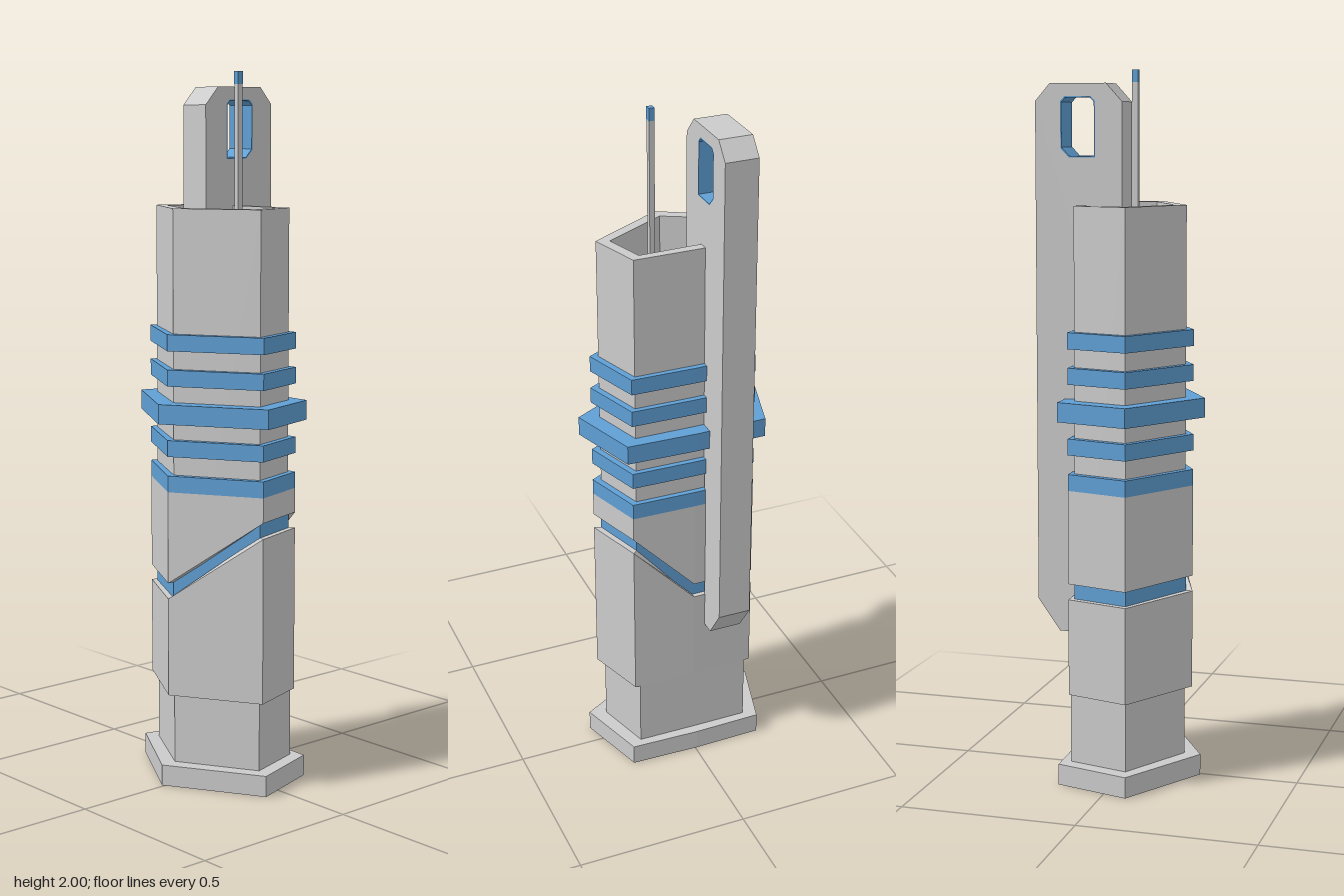
import * as THREE from 'three';

const grey = new THREE.MeshStandardMaterial({ color: 0xcccccc, flatShading: true });
const blue = new THREE.MeshStandardMaterial({ color: 0x5f9fd4, flatShading: true });

// Pentagonal plan (with a mid-back point) and the direction each corner moves as it grows
const plan = [[-0.215, 0.055], [-0.007, 0.17], [0.213, 0.046], [0.165, -0.105], [-0.005, -0.106], [-0.17, -0.105]];
const grow = [[-0.055, 0.015], [0, 0.055], [0.055, 0.02], [0.037, -0.036], [0, -0.041], [-0.04, -0.037]];

// One cross-section; y is a number or one height per corner, back shifts the rear wall
function section(size, y, back = 0) {
  return plan.map(([x, z], i) => [
    x + grow[i][0] * size,
    Array.isArray(y) ? y[i] : y,
    z + grow[i][1] * size - (i > 2 ? back : 0),
  ]);
}
const centre = (y) => plan.map(() => [0, y, 0]);

// Joins cross-sections with flat quads
function loft(sections) {
  const pos = [];
  for (let k = 0; k < sections.length - 1; k++) {
    const a = sections[k], b = sections[k + 1];
    a.forEach((p, i) => {
      const j = (i + 1) % a.length;
      pos.push(...p, ...a[j], ...b[j], ...p, ...b[j], ...b[i]);
    });
  }
  const g = new THREE.BufferGeometry();
  g.setAttribute('position', new THREE.Float32BufferAttribute(pos, 3));
  g.computeVertexNormals();
  return g;
}

const prism = (size, y0, y1, back) =>
  loft([centre(y0), section(size, y0, back), section(size, y1, back), centre(y1)]);

const collar = (size, y0, y1) =>
  loft([section(-0.1, y0), section(size, y0), section(size, y1), section(-0.1, y1)]);

// Extrudes a (z, y) side profile along x
function sideExtrude(outline, hole, x0, width) {
  const pts = (list) => list.map(([z, y]) => new THREE.Vector2(-z, y));
  const shape = new THREE.Shape(pts(outline));
  if (hole) shape.holes.push(new THREE.Path(pts(hole)));
  const g = new THREE.ExtrudeGeometry(shape, { depth: width, bevelEnabled: false });
  return g.rotateY(Math.PI / 2).translate(x0, 0, 0);
}

export function createModel() {
  const model = new THREE.Group();
  const add = (name, geometry, material = grey) => {
    const mesh = new THREE.Mesh(geometry, material);
    mesh.name = name;
    model.add(mesh);
    return mesh;
  };

  // Foot and lower body
  add('foot', prism(0.87, 0, 0.06, 0.008));
  add('lowerBody', prism(0, 0.06, 0.26, 0.014));

  // Core with an open cavity at the top
  add('core', loft([
    centre(0.25), section(0, 0.25), section(0, 1.63),
    section(-0.65, 1.63), section(-0.65, 1.5), centre(1.5),
  ]));

  // Two sleeves parted by a slanting gap, with a coloured band showing in it
  const lowEdge = [0.535, 0.54, 0.73, 0.73, 0.535, 0.535];
  const highEdge = lowEdge.map((y) => y + 0.045);
  add('lowerSleeve', collar(0.4, 0.26, lowEdge));
  add('upperSleeve', collar(0.4, highEdge, 0.845));
  add('gapBand', loft([section(0.04, lowEdge.map((y) => y - 0.02)), section(0.04, highEdge.map((y) => y + 0.02))]), blue);

  // Rings; the middle one is wider
  [0.845, 0.945, 1.04, 1.142, 1.24].forEach((y, i) => {
    const wide = i === 2;
    add('ring' + (i + 1), collar(wide ? 1 : 0.4, y, y + (wide ? 0.055 : 0.046)), blue);
  });

  // Clip: hooks out of the cavity and runs down the back
  const clipX = -0.134, clipWidth = 0.095;
  const windowOutline = [
    [-0.055, 1.76], [-0.13, 1.76], [-0.154, 1.785], [-0.154, 1.912],
    [-0.142, 1.925], [-0.067, 1.925], [-0.055, 1.912],
  ];
  add('clip', sideExtrude([
    [0.022, 1.5], [0.022, 1.91], [-0.024, 1.96], [-0.184, 1.96], [-0.226, 1.912],
    [-0.226, 0.52], [-0.162, 0.43], [-0.12, 0.43], [-0.1, 1.5],
  ], windowOutline, clipX, clipWidth));

  // Coloured lining of the clip window
  const inset = windowOutline.map(([z, y]) => [-0.1045 + (z + 0.1045) * 0.94, 1.8425 + (y - 1.8425) * 0.96]);
  add('clipWindowLining', sideExtrude(windowOutline, inset, clipX, clipWidth), blue);

  // Antenna with a coloured tip
  add('antenna', new THREE.BoxGeometry(0.015, 0.465, 0.017).translate(0.072, 1.7325, 0));
  add('antennaTip', new THREE.BoxGeometry(0.016, 0.035, 0.018).translate(0.072, 1.9825, 0), blue);

  return model;
}
